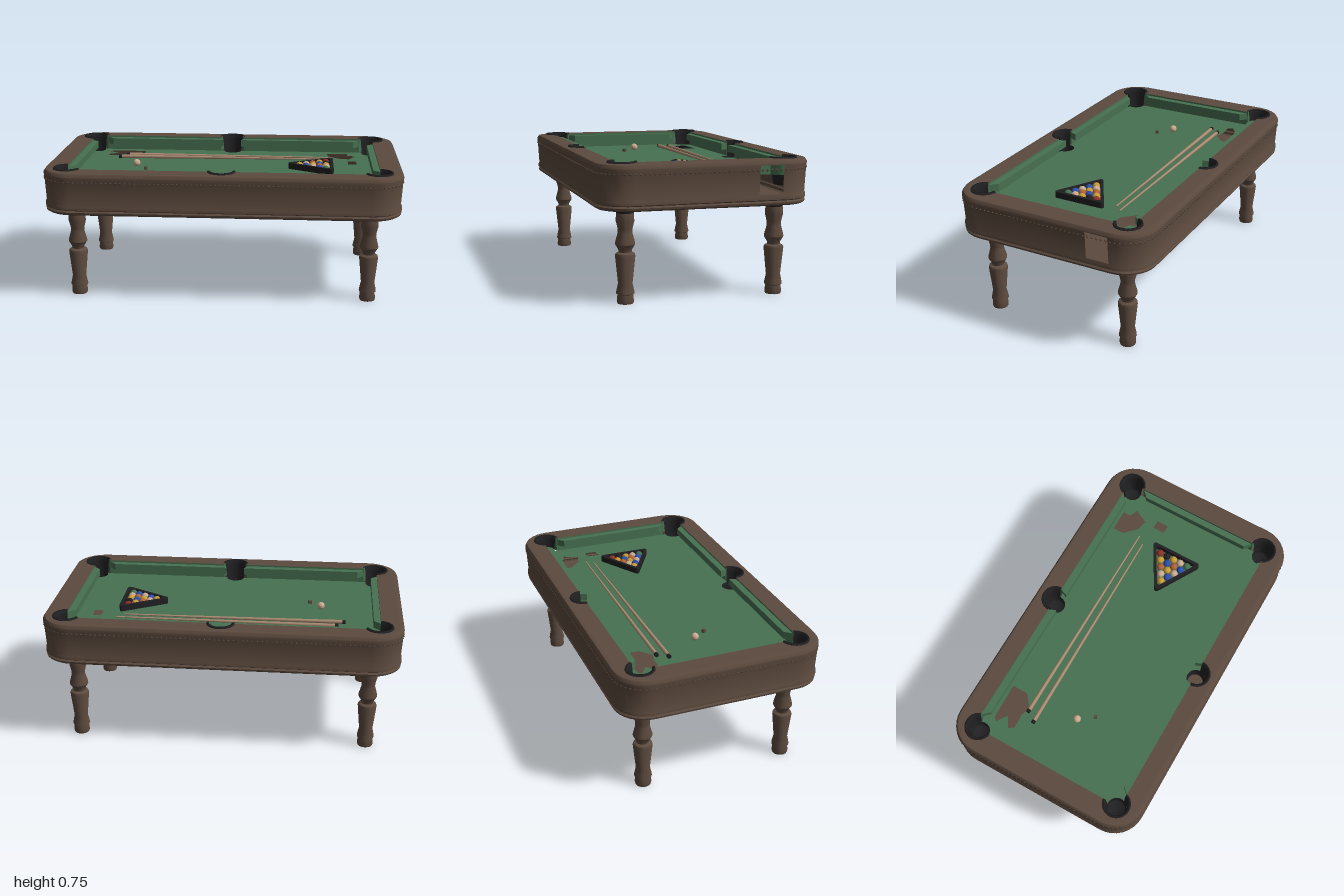
import * as THREE from 'three';
import { toCreasedNormals, mergeGeometries } from 'three/addons/utils/BufferGeometryUtils.js';

const V2 = (x, y) => new THREE.Vector2(x, y);
const HX = 1, HZ = 0.58, BED = 0.65, TOP = 0.737;
const OPEN_X = 0.87, OPEN_Z = 0.46, PX = 0.86, PZ = 0.435;
const SIGNS = [[1, 1], [-1, 1], [-1, -1], [1, -1]];

function material(name, color, side = THREE.FrontSide) {
  const m = new THREE.MeshStandardMaterial({ color, side });
  m.name = name;
  return m;
}

// Rounded rectangle inset by d, with two extra points on the +x side for the hatch
function outline(d) {
  const pts = [], r = 0.18 - d;
  [[1, 1], [-1, 1], [-1, -1], [1, -1]].forEach(([sx, sz], q) => {
    for (let i = 0; i <= 8; i++) {
      const a = (q + i / 8) * Math.PI / 2;
      pts.push(V2(sx * (HX - 0.18) + r * Math.cos(a), sz * (HZ - 0.18) + r * Math.sin(a)));
    }
  });
  pts.push(V2(HX - d, -0.39), V2(HX - d, -0.26));
  return pts;
}

// Table opening with six round pockets: bulging outward, or biting inward
function pocketLoop(r, bite) {
  const half = [];
  const arc = (cx, cz, a0, a1) => {
    for (let i = 0; i <= 14; i++) {
      const a = a0 + (a1 - a0) * i / 14;
      half.push(V2(cx + r * Math.cos(a), cz + r * Math.sin(a)));
    }
  };
  const [a0, a1] = cornerAngles(r), turn = bite ? 2 * Math.PI : 0;
  arc(PX, PZ, a0, a1 - turn);
  arc(0, OPEN_Z, 0, bite ? -Math.PI : Math.PI);
  arc(-PX, PZ, Math.PI - a1, Math.PI - a0 - turn);
  return [...half, ...half.map(p => V2(-p.x, -p.y))];
}
const cornerAngles = r => [-Math.acos((OPEN_X - PX) / r), Math.PI - Math.asin((OPEN_Z - PZ) / r)];

// Skin closed rings of equal point count; rings are [points, y]
function loft(rings, skip = () => false) {
  const pos = [], idx = [], n = rings[0][0].length;
  rings.forEach(([pts, y]) => pts.forEach(p => pos.push(p.x, y, p.y)));
  for (let r = 0; r < rings.length - 1; r++) for (let i = 0; i < n; i++) {
    if (skip(r, i)) continue;
    const j = (i + 1) % n, a = r * n + i, b = r * n + j;
    idx.push(a, b, a + n, b, b + n, a + n);
  }
  const g = new THREE.BufferGeometry();
  g.setAttribute('position', new THREE.Float32BufferAttribute(pos, 3));
  g.setIndex(idx);
  return toCreasedNormals(g, 0.6);
}

function plate(pts, holes, y) {
  const s = new THREE.Shape(pts);
  s.holes = holes.map(h => new THREE.Path(h));
  return new THREE.ShapeGeometry(s).rotateX(Math.PI / 2).translate(0, y, 0);
}

export function createModel() {
  const model = new THREE.Group();
  model.name = 'poolTable';
  const wood = material('brown wood', 0x5c4a3e, THREE.DoubleSide);
  const felt = material('green felt', 0x477150, THREE.DoubleSide);
  const black = material('black leather', 0x202022, THREE.DoubleSide);
  const maple = material('pale maple', 0xa98a72);
  const cream = material('cream', 0xc9ab92);
  const red = material('red', 0x8e2f28), yellow = material('yellow', 0xc79a35);
  const blue = material('blue', 0x2c4fae), orange = material('orange', 0xb0623a);
  const add = (name, geo, mat, parent = model) => {
    const m = new THREE.Mesh(geo, mat);
    m.name = name;
    parent.add(m);
    return m;
  };

  // Cabinet: moulded wall with an open hatch at the right end
  const profile = [[0.03, TOP], [0.014, 0.735], [0.004, 0.72], [0.003, 0.712], [0.006, 0.69], [0.007, 0.68],
    [0.014, 0.56], [0.009, 0.55], [0.008, 0.532], [0.018, 0.526], [0.01, 0.518], [0.012, 0.508],
    [0.025, 0.5], [0.055, 0.5], [0.065, 0.512]];
  const hatchStart = outline(0).length - 2;
  add('cabinet', loft(profile.map(([d, y]) => [outline(d), y]), (r, i) => i === hatchStart && r >= 3 && r <= 5), wood);
  add('cabinetFloor', plate(outline(0.06), [], 0.512), wood);

  // Beaded trim around the cabinet
  const path = new THREE.Path([...outline(0.008), outline(0.008)[0]]);
  const beads = path.getSpacedPoints(230).slice(1).map(p =>
    new THREE.OctahedronGeometry(0.008).scale(1, 1.1, 1).translate(p.x, 0.688, p.y));
  add('beadTrim', mergeGeometries(beads), wood);

  // Rail top, inner wall and bed with torn patches
  const opening = pocketLoop(0.07, false);
  add('railTop', plate(outline(0.03), [opening], TOP), wood);
  add('innerWall', loft([[opening, TOP], [opening, BED]]), felt);
  const tears = [
    [[-0.75, -0.41], [-0.545, -0.415], [-0.545, -0.325], [-0.61, -0.27], [-0.67, -0.285], [-0.75, -0.28],
      [-0.77, -0.31], [-0.71, -0.35], [-0.77, -0.39]],
    [[0.595, -0.415], [0.72, -0.415], [0.715, -0.37], [0.765, -0.35], [0.725, -0.27], [0.66, -0.285], [0.595, -0.35]],
    [[0.715, -0.21], [0.765, -0.21], [0.765, -0.14], [0.715, -0.14]],
  ].map(t => t.map(p => V2(...p)));
  add('bed', plate(pocketLoop(0.052, true), tears, BED), felt);

  // Cushions with mitred ends
  const cushion = (pts, name) => add(name, new THREE.ExtrudeGeometry(new THREE.Shape(pts.map(p => V2(...p))),
    { depth: 0.04, bevelEnabled: false }).rotateX(Math.PI / 2).translate(0, 0.727, 0), felt);
  for (const [sx, sz] of SIGNS) {
    cushion([[0.07, 0.46], [0.79, 0.46], [0.755, 0.422], [0.055, 0.422]].map(([x, z]) => [sx * x, sz * z]), 'longCushion');
  }
  for (const s of [1, -1]) {
    cushion([[0.87, -0.36], [0.87, 0.36], [0.833, 0.325], [0.833, -0.325]].map(([x, z]) => [s * x, z]), 'endCushion');
  }

  // Pockets: collar and upper cup wrap the rail side, lower cup hangs below the bed
  const upper = [[0.078, TOP], [0.076, 0.745], [0.064, 0.745], [0.058, 0.71], [0.053, BED]].map(p => V2(...p));
  const lower = [[0.053, BED], [0.05, 0.62], [0.044, 0.595]].map(p => V2(...p));
  const pocket = (x, z, sx, sz, a0, a1, closed) => {
    const g = new THREE.Group();
    g.name = 'pocket';
    g.position.set(x, 0, z);
    g.scale.set(sx, 1, sz);
    model.add(g);
    add('pocketCollar', new THREE.LatheGeometry(upper, 20, Math.PI / 2 - a1, a1 - a0), black, g);
    add('pocketCup', new THREE.LatheGeometry(closed ? [...lower, V2(0, 0.592)] : lower, 24), black, g);
  };
  const [c0, c1] = cornerAngles(0.07);
  for (const [sx, sz] of SIGNS) pocket(sx * PX, sz * PZ, sx, sz, c0, c1, true);
  for (const s of [1, -1]) pocket(0, s * OPEN_Z, 1, s, 0, Math.PI, s < 0);

  // Turned legs with dark collars
  const legProfile = [[0, 0], [0.042, 0], [0.045, 0.012], [0.041, 0.048], [0.048, 0.052], [0.047, 0.062], [0.038, 0.105],
    [0.053, 0.25], [0.05, 0.262], [0.034, 0.27], [0.036, 0.283], [0.052, 0.31], [0.051, 0.322], [0.038, 0.37],
    [0.038, 0.39], [0.048, 0.43], [0.047, 0.46], [0.04, 0.515]].map(p => V2(...p));
  const legGeo = toCreasedNormals(new THREE.LatheGeometry(legProfile, 18), 0.6);
  const collarGeo = new THREE.CylinderGeometry(0.053, 0.045, 0.035, 18).translate(0, 0.49, 0);
  for (const [sx, sz] of SIGNS) {
    add('leg', legGeo, wood).position.set(sx * 0.82, 0, sz * 0.41);
    add('legCollar', collarGeo, black).position.set(sx * 0.82, 0, sz * 0.41);
  }

  // Cues lying on the bed, tapering toward +x
  for (const [x0, z0, x1, z1] of [[-0.64, -0.26, 0.62, -0.252], [-0.68, -0.204, 0.58, -0.21]]) {
    const cue = new THREE.Group();
    cue.name = 'cue';
    const len = Math.hypot(x1 - x0, z1 - z0);
    cue.position.set(x0, BED + 0.012, z0);
    cue.rotation.set(0, -Math.atan2(z1 - z0, x1 - x0), -Math.PI / 2);
    model.add(cue);
    add('cueShaft', new THREE.CylinderGeometry(0.004, 0.011, len - 0.015, 10).translate(0, len / 2 + 0.0075, 0), maple, cue);
    add('cueButt', new THREE.CylinderGeometry(0.0115, 0.0115, 0.018, 10).translate(0, 0.008, 0), black, cue);
  }

  // Triangle rack: rounded frame
  const tri = (apex, base, half) => {
    const c = [V2(apex, 0), V2(base, half), V2(base, -half)], pts = [];
    c.forEach((p, i) => {
      const a = p.clone().lerp(c[(i + 2) % 3], 0.1), b = p.clone().lerp(c[(i + 1) % 3], 0.1);
      pts.push(...new THREE.QuadraticBezierCurve(a, p, b).getPoints(5));
    });
    return pts;
  };
  const frame = new THREE.Shape(tri(0.345, 0.622, 0.16));
  frame.holes.push(new THREE.Path(tri(0.378, 0.605, 0.131)));
  add('rack', new THREE.ExtrudeGeometry(frame, { depth: 0.035, bevelEnabled: false })
    .rotateX(Math.PI / 2).translate(0, BED + 0.037, 0), black);

  // Balls
  const R = 0.0215, ballGeo = new THREE.SphereGeometry(R, 16, 12);
  const colours = [yellow, cream, blue, orange, yellow, cream, yellow, blue, orange, red, black, blue, yellow, cream, felt];
  let n = 0;
  for (let row = 0; row < 5; row++) for (let k = 0; k <= row; k++) {
    add('rackedBall', ballGeo, colours[[0, 1, 2, 3, 4, 5, 6, 7, 8, 11, 9, 10, 12, 13, 14][n++]])
      .position.set(0.425 + row * 0.0385, BED + R, (k - row / 2) * 0.0445);
  }
  add('cueBall', ballGeo, cream).position.set(-0.54, BED + R, 0);
  const chalk = add('chalk', new THREE.BoxGeometry(0.018, 0.018, 0.018), wood);
  chalk.position.set(-0.475, BED + 0.009, 0.08);
  chalk.rotation.y = 0.4;

  return model;
}
